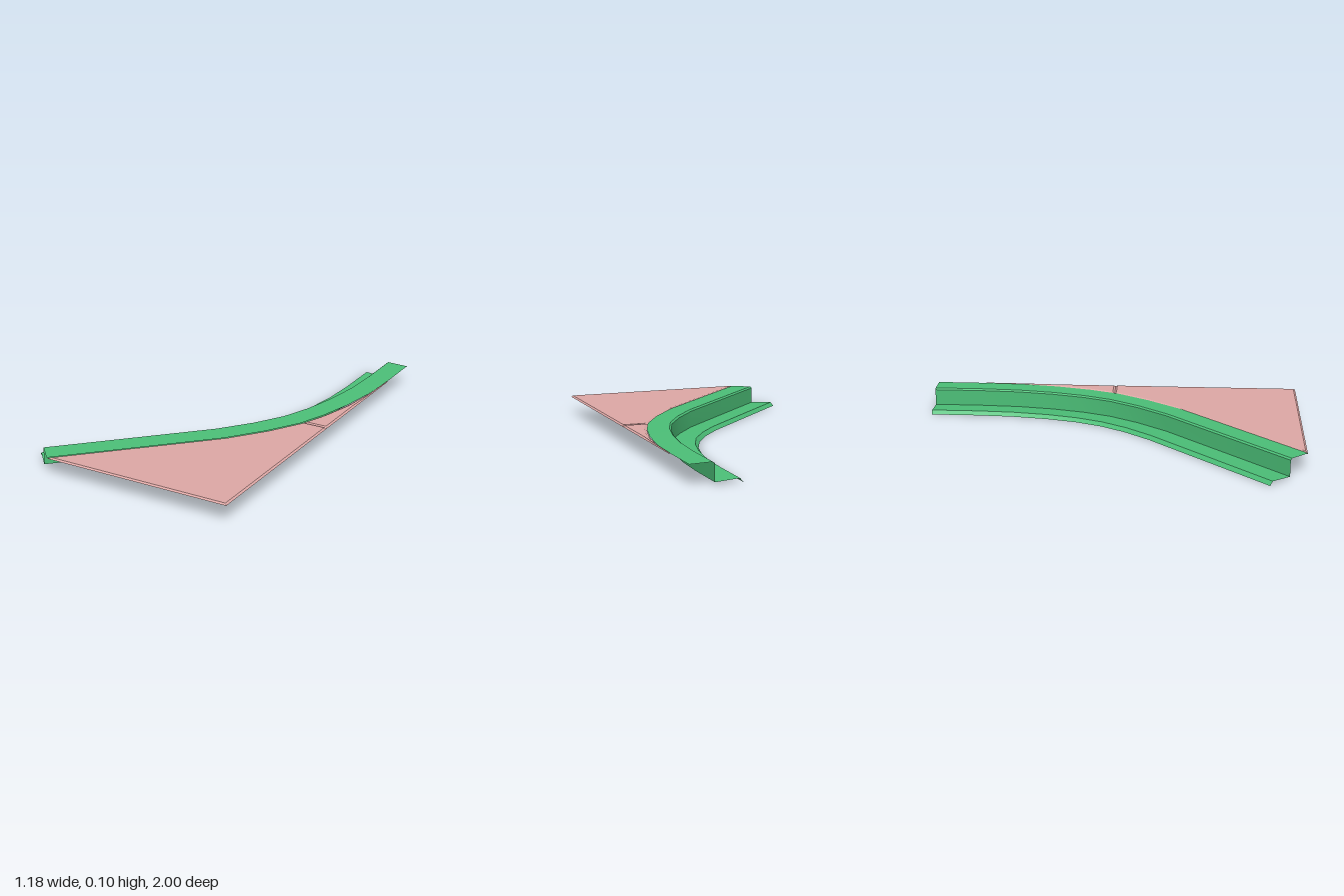
import * as THREE from 'three';
import { toCreasedNormals } from 'three/addons/utils/BufferGeometryUtils.js';

const GREEN = 0x4cc078;
const PINK = 0xdea8a6;

// Stations along the bend: [left x, left z, right x, right z]
const STATIONS = [
  [0.325, -1, 0.585, -1],
  [0.325, -0.75, 0.585, -0.74],
  [0.315, -0.55, 0.575, -0.52],
  [0.287, -0.36, 0.545, -0.32],
  [0.247, -0.2, 0.5, -0.14],
  [0.19, -0.06, 0.442, 0.02],
  [0.11, 0.07, 0.34, 0.19],
  [0.0, 0.205, 0.205, 0.37],
  [-0.594, 0.81, -0.41, 1],
];

// Kerb section: [fraction across from left to right, height]
const LIP_AND_GUTTER = [[0, 0], [0.065, 0.02], [0.53, 0.011]];
const WALL = [[0.53, 0.011], [0.53, 0.097]];
const TOP = [[0.53, 0.097], [0.565, 0.105], [1, 0.102]];

// Skin over rows of points; rows run towards +z, points towards +x
function loft(name, rows, color) {
  const columns = rows[0].length;
  const index = [];
  for (let i = 0; i < rows.length - 1; i++) {
    for (let j = 0; j < columns - 1; j++) {
      const a = i * columns + j;
      const b = a + columns;
      index.push(a, b, a + 1, b, b + 1, a + 1);
    }
  }
  const geometry = new THREE.BufferGeometry();
  geometry.setAttribute('position', new THREE.Float32BufferAttribute(rows.flat(2), 3));
  geometry.setIndex(index);
  const material = new THREE.MeshStandardMaterial({ color, side: THREE.DoubleSide });
  const mesh = new THREE.Mesh(toCreasedNormals(geometry, 0.3), material);
  mesh.name = name;
  return mesh;
}

// Sweep a piece of the kerb section through all stations
function sweep(name, section) {
  const rows = STATIONS.map(([lx, lz, rx, rz]) =>
    section.map(([t, y]) => [lx + (rx - lx) * t, y, lz + (rz - lz) * t]));
  return loft(name, rows, GREEN);
}

// Right-hand kerb edge: x for a given z
function edgeX(z) {
  const i = Math.max(1, STATIONS.findIndex((s) => s[3] >= z));
  const [, , x0, z0] = STATIONS[i - 1];
  const [, , x1, z1] = STATIONS[i];
  return x0 + (x1 - x0) * (z - z0) / (z1 - z0);
}

// Paving slab with bevelled rim, between the kerb edge and the straight side
function slab(name, zStart, zEnd) {
  const side = 0.585, rim = 0.097, face = 0.104, bevel = 0.01;
  const zs = [zStart, zStart + bevel];
  for (const s of STATIONS) {
    if (s[3] > zStart + 2 * bevel && s[3] < zEnd - 2 * bevel) zs.push(s[3]);
  }
  zs.push(zEnd - bevel, zEnd);
  const rows = zs.map((z, i) => {
    const x = edgeX(z);
    const inset = Math.min(bevel, (side - x) * 0.3);
    const atEnd = i === 0 || i === zs.length - 1;
    const y = atEnd ? rim : face;
    return [[x, rim, z], [x + inset * 1.4, y, z], [side - inset, y, z], [side, rim, z]];
  });
  return loft(name, rows, PINK);
}

export function createModel() {
  const group = new THREE.Group();
  group.name = 'kerbCorner';
  group.add(
    sweep('gutter', LIP_AND_GUTTER),
    sweep('kerbWall', WALL),
    sweep('kerbTop', TOP),
    slab('frontPavingSlab', 0, 1),
    slab('backPavingSlab', -0.74, 0),
  );
  return group;
}
